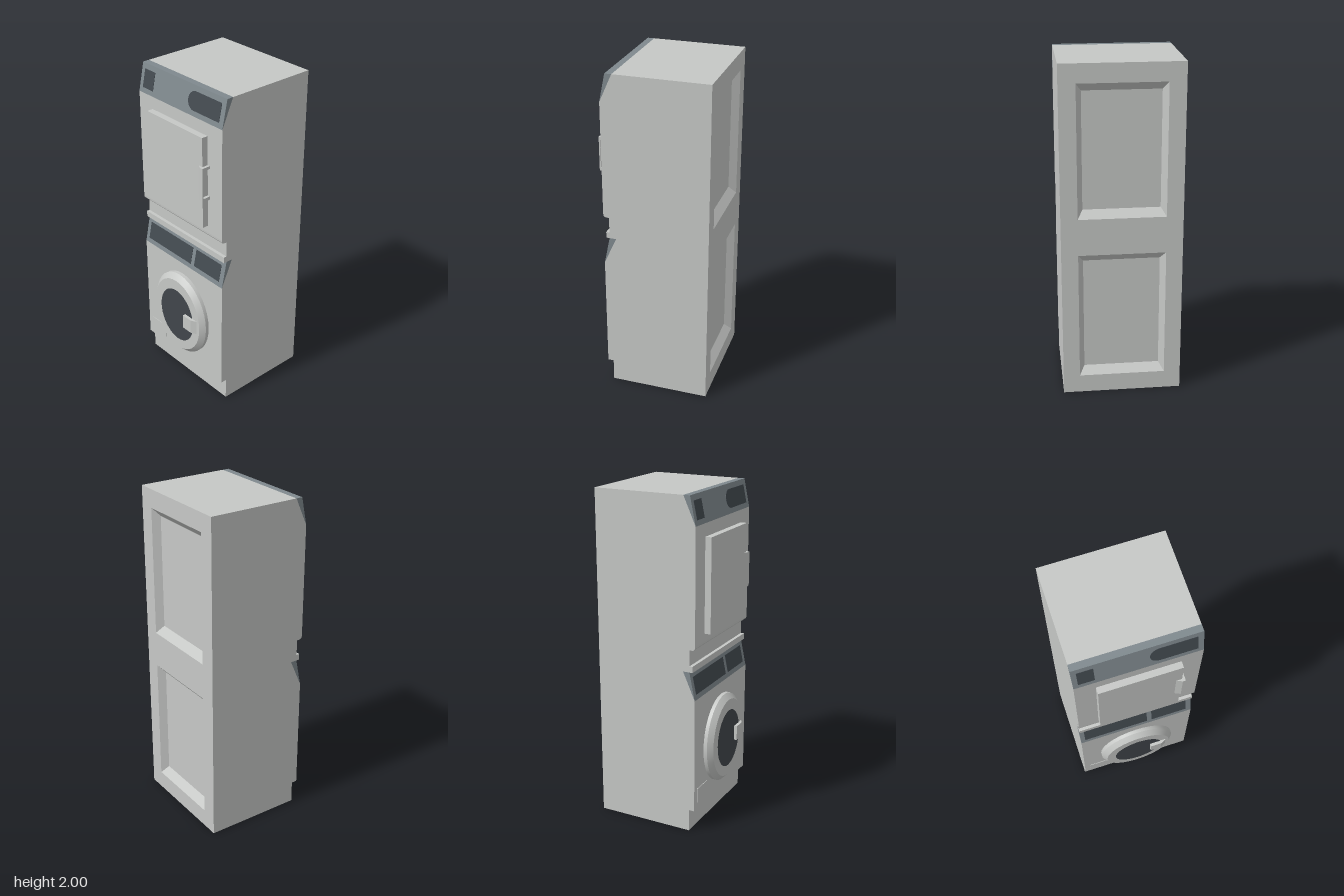
import * as THREE from 'three';
import { toCreasedNormals } from 'three/addons/utils/BufferGeometryUtils.js';

const W = 0.705, BACK = -0.353, RECESS = 0.042, FRONT = 0.28;

function material(name, color) {
  const m = new THREE.MeshStandardMaterial({ color });
  m.name = name;
  return m;
}

const polygon = (pts) => new THREE.Shape(pts.map(([x, y]) => new THREE.Vector2(x, y)));
const rect = (x0, y0, x1, y1) => polygon([[x0, y0], [x1, y0], [x1, y1], [x0, y1]]);
const extrude = (shape, depth) =>
  new THREE.ExtrudeGeometry(shape, { depth, bevelEnabled: false, curveSegments: 12 });

// side profile of [z, y] points, swept across the full width
const acrossWidth = (pts) => extrude(polygon(pts), W).rotateY(-Math.PI / 2).translate(W / 2, 0, 0);

// plan profile of [x, z] points, swept upwards
const upwards = (pts, y0, y1) =>
  extrude(polygon(pts.map(([x, z]) => [x, -z])), y1 - y0).rotateX(-Math.PI / 2).translate(0, y0, 0);

export function createModel() {
  const body = material('light grey enamel', 0xc6c8c6);
  const panel = material('blue grey panel', 0x7f898e);
  const display = material('dark display', 0x434a50);
  const glass = material('dark glass', 0x41464b);

  const model = new THREE.Group();
  model.name = 'stackedWasherDryer';
  const add = (name, geometry, mat, parent = model) => {
    const mesh = new THREE.Mesh(geometry, mat);
    mesh.name = name;
    parent.add(mesh);
    return mesh;
  };

  // cabinet with toe kick, ledge, rounded lip and notches for the control panels
  add('cabinet', acrossWidth([
    [BACK + RECESS, 0], [0.245, 0], [0.245, 0.135], [FRONT, 0.135], [FRONT, 0.835],
    [0.205, 1.003], [0.265, 1.003], [0.265, 1.04], [0.245, 1.04], [0.245, 1.135],
    [0.265, 1.135], [0.274, 1.139], [0.279, 1.147], [FRONT, 1.16], [FRONT, 1.835],
    [0.205, 2], [BACK + RECESS, 2],
  ]), body);

  // back frame with two recesses, each lined with sloping walls
  const frame = rect(-W / 2, 0, W / 2, 2);
  for (const y of [0.5, 1.5]) {
    frame.holes.push(rect(-0.255, y - 0.39, 0.255, y + 0.39));
    const r = Math.SQRT2;
    const lining = new THREE.CylinderGeometry(r * 0.88, r, RECESS, 4, 1, true, Math.PI / 4)
      .rotateX(Math.PI / 2)
      .scale(-0.255, 0.39, 1)
      .translate(0, y, BACK + RECESS / 2)
      .toNonIndexed();
    // the mirrored scale turns the faces inwards
    lining.computeVertexNormals();
    add('recessWalls', lining, body);
  }
  add('backFrame', extrude(frame, RECESS).translate(0, 0, BACK), body);

  // sloping control panels with thin displays
  const pill = new THREE.Shape();
  pill.moveTo(0.32, 0.03);
  pill.lineTo(0.32, 0.137);
  pill.lineTo(0.115, 0.137);
  pill.absarc(0.115, 0.0835, 0.0535, Math.PI / 2, Math.PI * 1.5, false);
  const panels = [
    { name: 'washer', y: 0.835, top: 1.003, shapes: [rect(-0.325, 0.03, 0.07, 0.137), rect(0.1, 0.03, 0.32, 0.137)] },
    { name: 'dryer', y: 1.835, top: 2, shapes: [rect(-0.325, 0.03, -0.235, 0.137), pill] },
  ];
  for (const { name, y, top, shapes } of panels) {
    add(name + 'ControlPanel', acrossWidth([[FRONT, y], [0.245, top], [0.205, top]]), panel);
    const slope = new THREE.Group();
    slope.name = name + 'Displays';
    slope.position.set(0, y, FRONT);
    slope.rotation.x = -Math.atan2(0.035, top - y);
    shapes.forEach((s) => add('display', extrude(s, 0.002), display, slope));
    model.add(slope);
  }

  // dryer door and its hollow side grip
  add('dryerDoor', new THREE.BoxGeometry(0.47, 0.555, 0.038).translate(0, 1.4825, 0.299), body);
  const grip = new THREE.Group();
  grip.name = 'dryerHandle';
  model.add(grip);
  const cap = [[0.2, 0.317], [0.235, 0.333], [0.252, 0.333], [0.252, FRONT], [0.234, FRONT], [0.234, 0.317]];
  add('gripEnd', upwards(cap, 1.38, 1.4), body, grip);
  add('gripEnd', upwards(cap, 1.57, 1.587), body, grip);
  add('gripFront', upwards(
    [[0.2, 0.317], [0.235, 0.333], [0.252, 0.333], [0.252, 0.325], [0.234, 0.317]], 1.4, 1.57), body, grip);

  // oval washer door with bevelled rim, glass and handle
  const rim = [[1, FRONT], [1, 0.302], [0.975, 0.309], [0.945, 0.317], [0.885, 0.332], [0, 0.332]]
    .map(([r, z]) => new THREE.Vector2(r, z));
  const door = new THREE.LatheGeometry(rim, 36).rotateX(Math.PI / 2).scale(0.235, 0.277, 1);
  add('washerDoor', toCreasedNormals(door, 0.5).translate(0, 0.485, 0), body);
  add('washerGlass', new THREE.CircleGeometry(1, 40).scale(0.152, 0.18, 1).translate(0, 0.482, 0.3335), glass);
  add('washerHandle', upwards(
    [[0.08, 0.33], [0.08, 0.352], [0.15, 0.352], [0.184, 0.334], [0.184, 0.33]], 0.438, 0.53), body);

  // filter hatch
  add('filterHatch', extrude(rect(-0.315, 0.177, -0.185, 0.267), 0.003).translate(0, 0, FRONT), body);

  return model;
}
